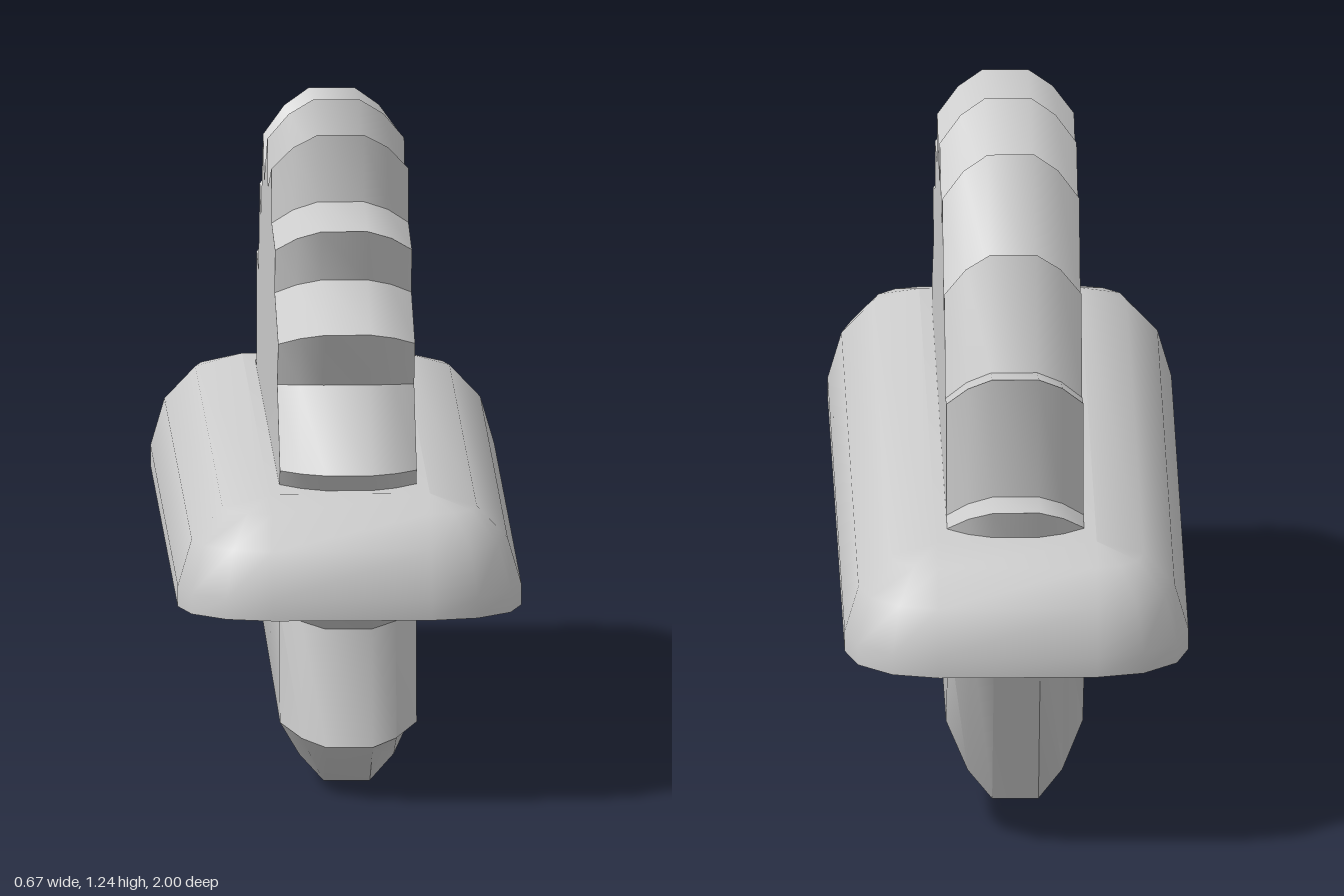
import * as THREE from 'three';
import { toCreasedNormals } from 'three/addons/utils/BufferGeometryUtils.js';

// Skins a stack of counter-clockwise 2D loops; place(u, v, h) maps each to 3D. Both ends are capped.
function loft(layers, place, crease) {
  const pos = [];
  const rings = layers.map(({ loop, h }) => loop.map((p) => place(p.x, p.y, h)));
  const tri = (a, b, c) => {
    const area = b.clone().sub(a).cross(c.clone().sub(a)).length();
    if (area > 1e-7) for (const p of [a, b, c]) pos.push(p.x, p.y, p.z);
  };
  for (let i = 0; i < rings.length - 1; i++) {
    const lo = rings[i], hi = rings[i + 1], n = lo.length;
    for (let j = 0; j < n; j++) {
      const k = (j + 1) % n;
      tri(lo[j], lo[k], hi[k]);
      tri(lo[j], hi[k], hi[j]);
    }
  }
  const last = rings.length - 1;
  for (const [a, b, c] of THREE.ShapeUtils.triangulateShape(layers[0].loop.slice(), [])) {
    tri(rings[0][a], rings[0][c], rings[0][b]);
  }
  for (const [a, b, c] of THREE.ShapeUtils.triangulateShape(layers[last].loop.slice(), [])) {
    tri(rings[last][a], rings[last][b], rings[last][c]);
  }
  const geo = new THREE.BufferGeometry();
  geo.setAttribute('position', new THREE.Float32BufferAttribute(pos, 3));
  return toCreasedNormals(geo, crease);
}

// Moves every outline corner inward by d times its weight, along its mitre.
function inset(points, weights, d) {
  const n = points.length;
  const inward = (a, b) => {
    const e = b.clone().sub(a).normalize();
    return new THREE.Vector2(-e.y, e.x);
  };
  return points.map((p, i) => {
    const n1 = inward(points[(i + n - 1) % n], p);
    const n2 = inward(p, points[(i + 1) % n]);
    const scale = (d * weights[i]) / Math.max(0.3, 1 + n1.dot(n2));
    return p.clone().add(n1.add(n2).multiplyScalar(scale));
  });
}

// Blade outline as [z, y, bevel weight], from the front tooth over the top and back underneath
const BLADE = [
  [0.82, 0.63], [0.65, 0.78], [0.72, 0.89], [0.49, 0.96], [0.52, 1.06], [0.29, 1.08],
  [0.28, 1.21], [0.05, 1.13], [0.015, 1.235], [-0.19, 1.11], [-0.27, 1.21], [-0.41, 1.01],
  [-0.49, 1.075], [-0.585, 0.865], [-0.71, 0.89], [-0.705, 0.65], [-0.81, 0.65],
  [-0.76, 0.5], [-0.92, 0.455], [-0.7, 0.035, 2.5], [0.64, 0, 2.5], [0.82, 0.095, 1.3],
  [0.77, 0.32], [0.93, 0.39], [0.74, 0.55],
];

function bladeGeometry() {
  const outline = BLADE.slice().reverse();
  const points = outline.map(([z, y]) => new THREE.Vector2(-z, y));
  const weights = outline.map((p) => p[2] ?? 1);
  // [x, inset] across the thickness
  const section = [[-0.133, 0.054], [-0.092, 0.02], [-0.045, 0], [0.045, 0], [0.092, 0.02], [0.133, 0.054]];
  const layers = section.map(([h, d]) => ({ h, loop: inset(points, weights, d) }));
  return loft(layers, (u, v, h) => new THREE.Vector3(h, v, -u), 0.8);
}

// Rounded rectangle around fixed corner centres, as (z, x)
function plateLoop(r) {
  const loop = [];
  const corners = [[1, 1], [-1, 1], [-1, -1], [1, -1]];
  corners.forEach(([sz, sx], q) => {
    for (let s = 0; s <= 3; s++) {
      const a = (q + s / 3) * Math.PI / 2;
      loop.push(new THREE.Vector2(sz * 0.82 + r * Math.cos(a), sx * 0.154 + r * Math.sin(a)));
    }
  });
  return loop;
}

function plateGeometry() {
  // [y, corner radius] from the flat underside to the top
  const profile = [[0.375, 0.18], [0.415, 0.18], [0.507, 0.153], [0.57, 0.093], [0.595, 0.002]];
  const layers = profile.map(([h, r]) => ({ h, loop: plateLoop(r) }));
  return loft(layers, (u, v, h) => new THREE.Vector3(v, h, u), 0.8);
}

export function createModel() {
  const group = new THREE.Group();
  const material = new THREE.MeshStandardMaterial({ color: 0xcccccc });
  const add = (name, geometry) => {
    const mesh = new THREE.Mesh(geometry, material);
    mesh.name = name;
    group.add(mesh);
  };
  add('sawBlade', bladeGeometry());
  add('guardPlate', plateGeometry());
  return group;
}
